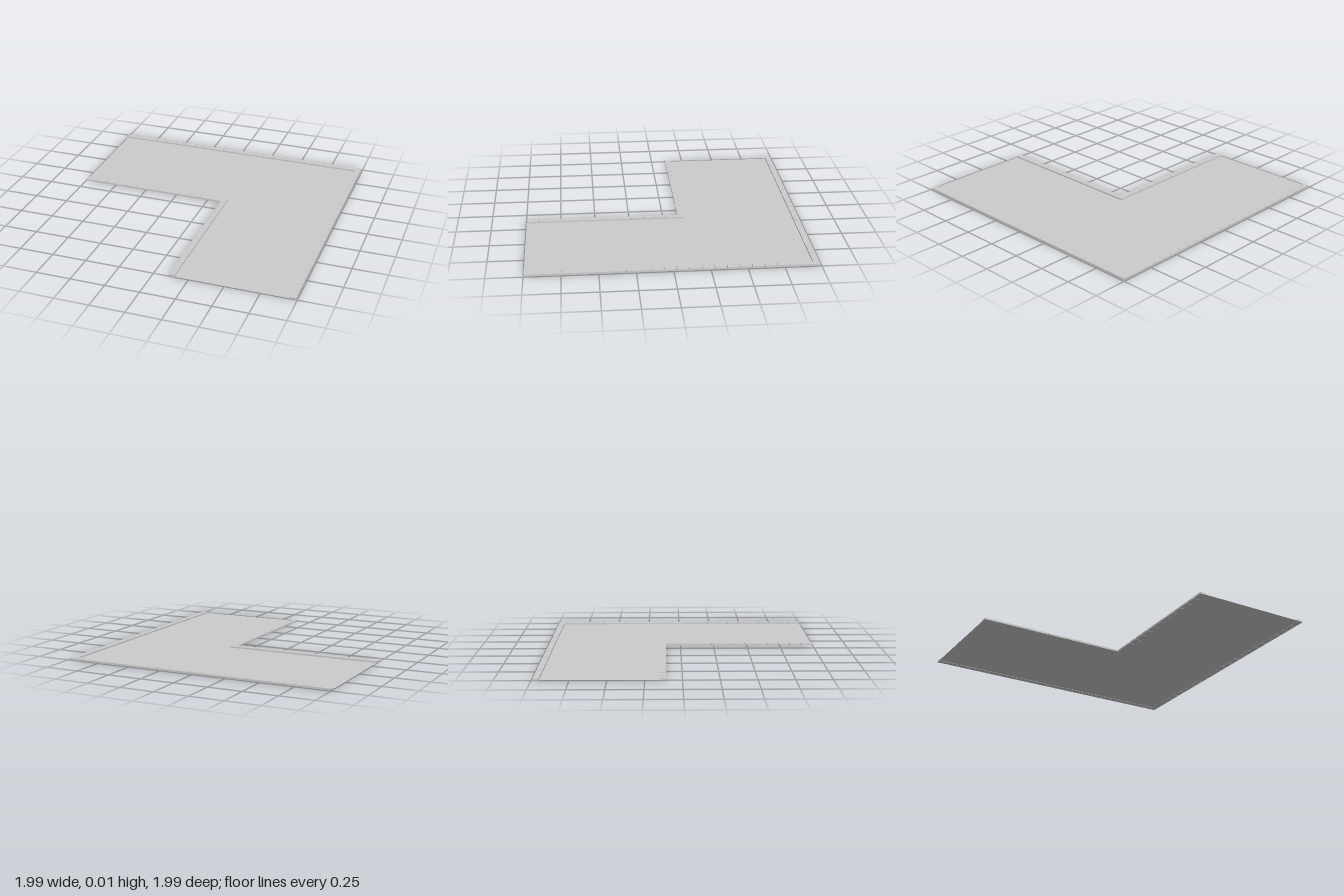
import * as THREE from 'three';

const LOW = -0.998, HIGH = 0.998;   // open ends of the two road arms
const WIDTH = 0.043, HEIGHT = 0.013, BLOCK = 0.085, GAP = 0.003;

const material = new THREE.MeshStandardMaterial({ color: 0xcccccc, flatShading: true, side: THREE.DoubleSide });

// Flat outline in x/z, raised to the given height (0 gives a single sheet)
function slab(name, points, height, y) {
  const shape = new THREE.Shape(points.map(([x, z]) => new THREE.Vector2(x, -z)));
  const geometry = height
    ? new THREE.ExtrudeGeometry(shape, { depth: height, bevelEnabled: false })
    : new THREE.ShapeGeometry(shape);
  geometry.rotateX(-Math.PI / 2);
  const mesh = new THREE.Mesh(geometry, material);
  mesh.name = name;
  mesh.position.y = y;
  return mesh;
}

// Kerb turning a corner whose outer edges meet at (x, z), with block rows along both arms
function kerb(name, x, z, arm) {
  const group = new THREE.Group();
  group.name = name;
  const endX = x - arm, endZ = z + arm;
  group.add(slab('cornerStone', [
    [endX, z], [x, z], [x, endZ], [x - WIDTH, endZ], [x - WIDTH, z + WIDTH], [endX, z + WIDTH],
  ], HEIGHT, 0));

  const row = (length, place) => {
    const count = Math.round(length / BLOCK), step = length / count;
    for (let i = 0; i < count; i++) {
      const stone = new THREE.Mesh(new THREE.BoxGeometry(step - GAP, HEIGHT, WIDTH), material);
      stone.name = 'kerbStone';
      place(stone, (i + 0.5) * step);
      group.add(stone);
    }
  };
  row(endX - LOW, (stone, d) => stone.position.set(LOW + d, HEIGHT / 2, z + WIDTH / 2));
  row(HIGH - endZ, (stone, d) => {
    stone.position.set(x - WIDTH / 2, HEIGHT / 2, HIGH - d);
    stone.rotation.y = Math.PI / 2;
  });
  return group;
}

export function createModel() {
  const model = new THREE.Group();
  model.name = 'roadCorner';

  const outer = [0.992, -0.992], inner = [0.15, -0.152];
  const half = WIDTH / 2;

  // L-shaped road sheet, tucked under both kerbs
  const right = outer[0] - half, back = outer[1] + half;
  const innerX = inner[0] - half, innerZ = inner[1] + half;
  model.add(slab('roadSurface', [
    [LOW, back], [right, back], [right, HIGH], [innerX, HIGH], [innerX, innerZ], [LOW, innerZ],
  ], 0, 0.002));

  model.add(kerb('outerKerb', ...outer, 0.205));
  model.add(kerb('innerKerb', ...inner, 0.13));
  return model;
}
